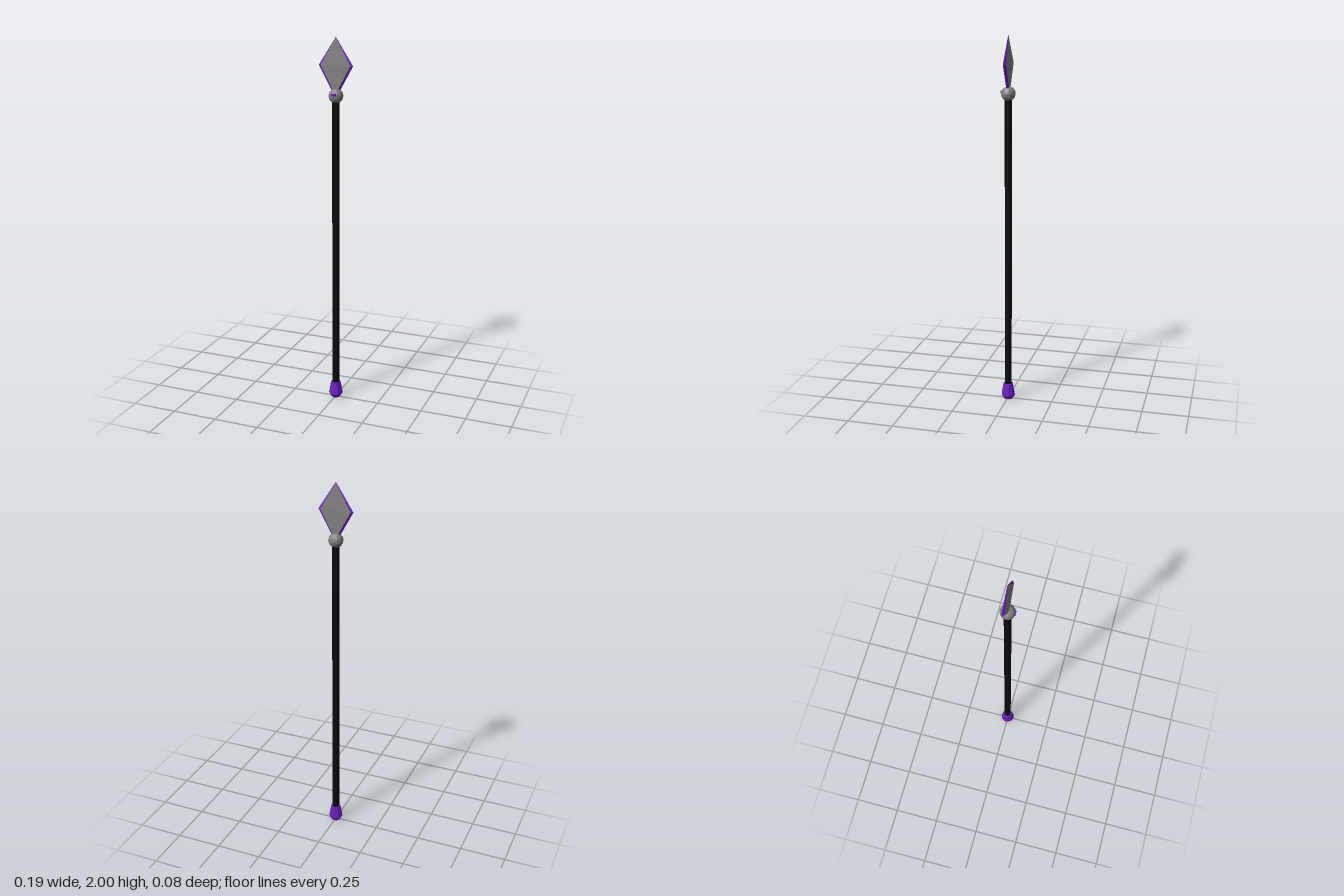
import * as THREE from 'three';

const CZ = -0.002; // the axis sits slightly behind the origin

const paint = (color) => new THREE.MeshStandardMaterial({ color, flatShading: true });

// Flat-faced geometry from triangles of [x, y, z] corners
function fromTriangles(triangles) {
  const g = new THREE.BufferGeometry();
  g.setAttribute('position', new THREE.Float32BufferAttribute(triangles.flat(2), 3));
  g.computeVertexNormals();
  return g;
}

export function createModel() {
  const group = new THREE.Group();
  const steel = paint(0x808080);
  const purple = paint(0x6a1fb8);
  const black = paint(0x0a0a0a);

  const add = (name, geometry, material, y = 0, z = CZ) => {
    const mesh = new THREE.Mesh(geometry, material);
    mesh.name = name;
    mesh.position.set(0, y, z);
    group.add(mesh);
    return mesh;
  };

  // Butt cap: flared, with a chamfered foot
  const capProfile = [[0, 0], [0.025, 0], [0.038, 0.022], [0.027, 0.088], [0, 0.088]]
    .map(([r, y]) => new THREE.Vector2(r, y));
  add('buttCap', new THREE.LatheGeometry(capProfile, 10), purple);

  // Shaft
  add('shaft', new THREE.CylinderGeometry(0.0195, 0.0195, 1.62, 10), black, 0.87);

  // Faceted ball with a gem set into its front
  add('collarBall', new THREE.IcosahedronGeometry(0.0395, 1), steel, 1.7);
  const gem = add('collarGem', new THREE.CylinderGeometry(0.021, 0.021, 0.012, 6), purple, 1.708, 0.02);
  gem.rotation.y = Math.PI / 6;

  // Blade: a grey lozenge on each side, joined by a bevelled purple rim
  const plates = [];
  const rim = [];
  const outer = [[0, 2, 0], [-0.094, 1.855, 0], [0, 1.685, 0], [0.094, 1.855, 0]];
  for (const s of [1, -1]) {
    const inner = [[0, 1.997, 0.001 * s], [-0.082, 1.855, 0.008 * s],
      [0, 1.705, 0.008 * s], [0.082, 1.855, 0.008 * s]];
    const centre = [0, 1.855, 0.008 * s];
    const tri = (list, a, b, c) => list.push(s > 0 ? [a, b, c] : [a, c, b]);
    for (let i = 0; i < 4; i++) {
      const j = (i + 1) % 4;
      tri(plates, centre, inner[i], inner[j]);
      tri(rim, inner[i], outer[i], outer[j]);
      tri(rim, inner[i], outer[j], inner[j]);
    }
  }
  add('bladeFaces', fromTriangles(plates), steel);
  add('bladeEdge', fromTriangles(rim), purple);

  return group;
}
